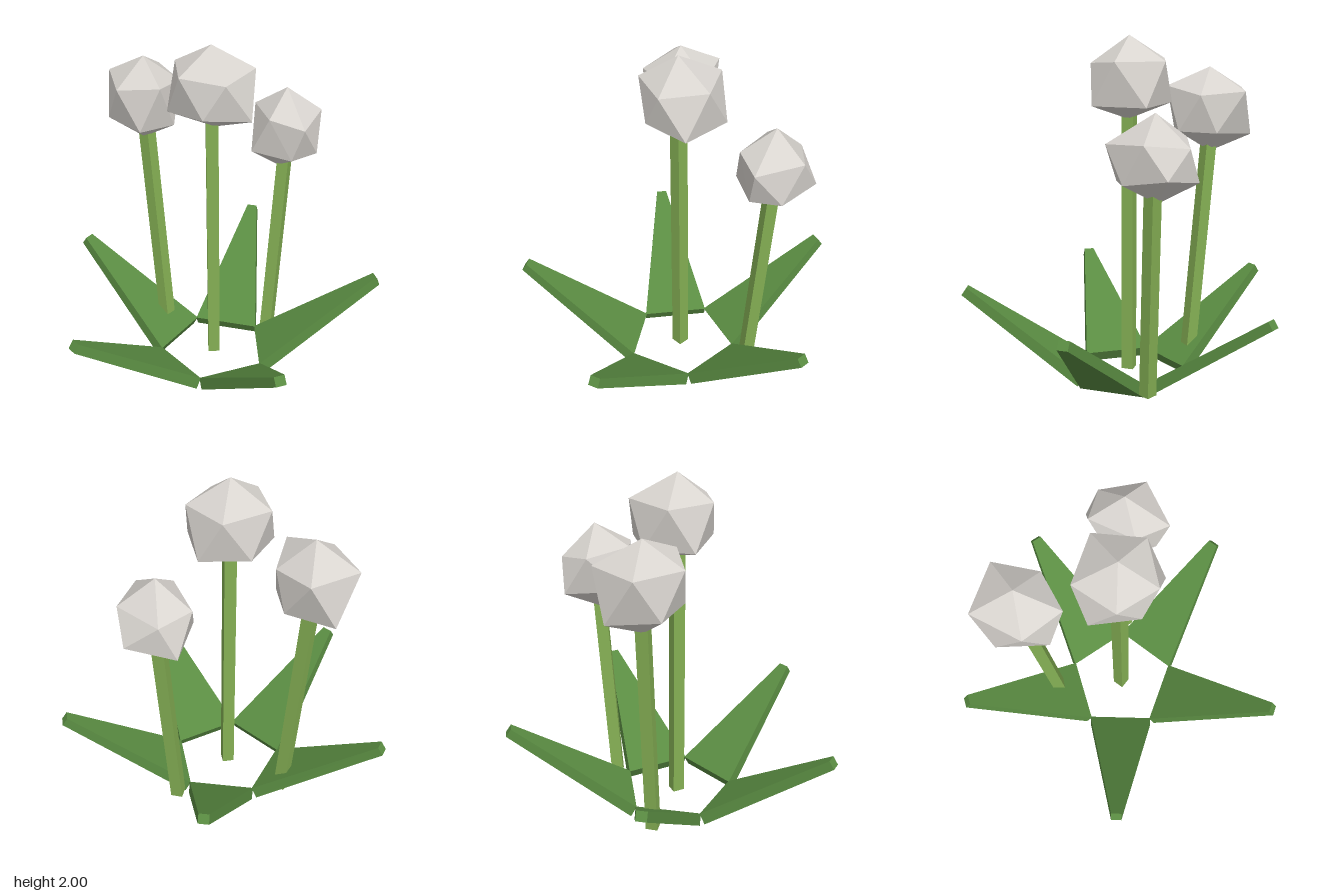
import * as THREE from 'three';
import { ConvexGeometry } from 'three/addons/geometries/ConvexGeometry.js';

const CENTRE_X = -0.08;

function material(name, color) {
  const m = new THREE.MeshStandardMaterial({ color });
  m.name = name;
  return m;
}

// Tapered slab rising outward from the base; local +x points outward.
function leafGeometry() {
  const g = new THREE.BoxGeometry(1, 1, 1);
  const p = g.attributes.position;
  for (let i = 0; i < p.count; i++) {
    const tip = p.getX(i) > 0, top = p.getY(i) > 0, side = Math.sign(p.getZ(i));
    if (tip) p.setXYZ(i, top ? 0.95 : 0.98, top ? 0.54 : 0.495, side * 0.03);
    else p.setXYZ(i, top ? 0.257 : 0.29, top ? 0.062 : 0, side * 0.192);
  }
  g.computeVertexNormals();
  return g;
}

// Square stem between two points, turned about its own axis.
function stemMesh(from, to, twist, mat) {
  const a = new THREE.Vector3(...from), b = new THREE.Vector3(...to);
  const dir = b.clone().sub(a);
  const mesh = new THREE.Mesh(new THREE.BoxGeometry(0.068, dir.length(), 0.068), mat);
  mesh.position.copy(a).add(b).multiplyScalar(0.5);
  const up = new THREE.Vector3(0, 1, 0);
  mesh.quaternion.setFromUnitVectors(up, dir.normalize());
  mesh.quaternion.multiply(new THREE.Quaternion().setFromAxisAngle(up, twist));
  mesh.name = 'stem';
  return mesh;
}

// Each flower: stem ends, twist, and an uneven twenty-sided head
// given as top, bottom, upper ring and lower ring.
const flowers = [
  {
    name: 'middleFlower', from: [-0.085, 0.05, 0], to: [-0.085, 1.6, 0], twist: 0,
    head: [
      [-0.085, 2, 0], [-0.07, 1.535, 0],
      [0, 1.865, -0.24], [0.15, 1.865, 0], [-0.02, 1.845, 0.205], [-0.26, 1.865, 0.125], [-0.275, 1.865, -0.145],
      [-0.325, 1.625, -0.01], [-0.155, 1.63, -0.23], [0.115, 1.62, -0.17], [0.12, 1.62, 0.145], [-0.14, 1.65, 0.19],
    ],
  },
  {
    name: 'rightFlower', from: [-0.362, 0.04, -0.28], to: [-0.45, 1.4, -0.368], twist: -0.7,
    head: [
      [-0.452, 1.81, -0.367], [-0.465, 1.315, -0.37],
      [-0.37, 1.68, -0.6], [-0.25, 1.66, -0.37], [-0.36, 1.7, -0.135], [-0.6, 1.67, -0.205], [-0.653, 1.68, -0.505],
      [-0.515, 1.42, -0.6], [-0.28, 1.445, -0.46], [-0.29, 1.445, -0.23], [-0.48, 1.44, -0.145], [-0.662, 1.445, -0.36],
    ],
  },
  {
    name: 'leftFlower', from: [0.26, 0.04, -0.235], to: [0.35, 1.22, -0.287], twist: -0.44,
    head: [
      [0.355, 1.63, -0.3], [0.31, 1.145, -0.3],
      [0.43, 1.466, -0.052], [0.556, 1.487, -0.305], [0.37, 1.455, -0.495], [0.185, 1.49, -0.42], [0.24, 1.5, -0.14],
      [0.148, 1.275, -0.215], [0.365, 1.265, -0.09], [0.543, 1.31, -0.43], [0.28, 1.265, -0.52], [0.52, 1.27, -0.18],
    ],
  },
];

export function createModel() {
  const model = new THREE.Group();
  model.name = 'flowerPlant';
  const leafGreen = material('leafGreen', 0x5a8c42);
  const stemGreen = material('stemGreen', 0x85b054);
  const headGrey = material('headGrey', 0xd8d4cf);

  // Star of five leaves
  const leaves = new THREE.Group();
  leaves.name = 'leaves';
  leaves.position.x = CENTRE_X;
  const leafGeo = leafGeometry();
  for (let i = 0; i < 5; i++) {
    const leaf = new THREE.Mesh(leafGeo, leafGreen);
    leaf.name = 'leaf';
    leaf.rotation.y = (i * Math.PI * 2) / 5;
    leaves.add(leaf);
  }
  model.add(leaves);

  // Three flowers
  for (const f of flowers) {
    const flower = new THREE.Group();
    flower.name = f.name;
    flower.add(stemMesh(f.from, f.to, f.twist, stemGreen));
    const head = new THREE.Mesh(
      new ConvexGeometry(f.head.map((v) => new THREE.Vector3(...v))), headGrey);
    head.name = 'flowerHead';
    flower.add(head);
    model.add(flower);
  }
  return model;
}
